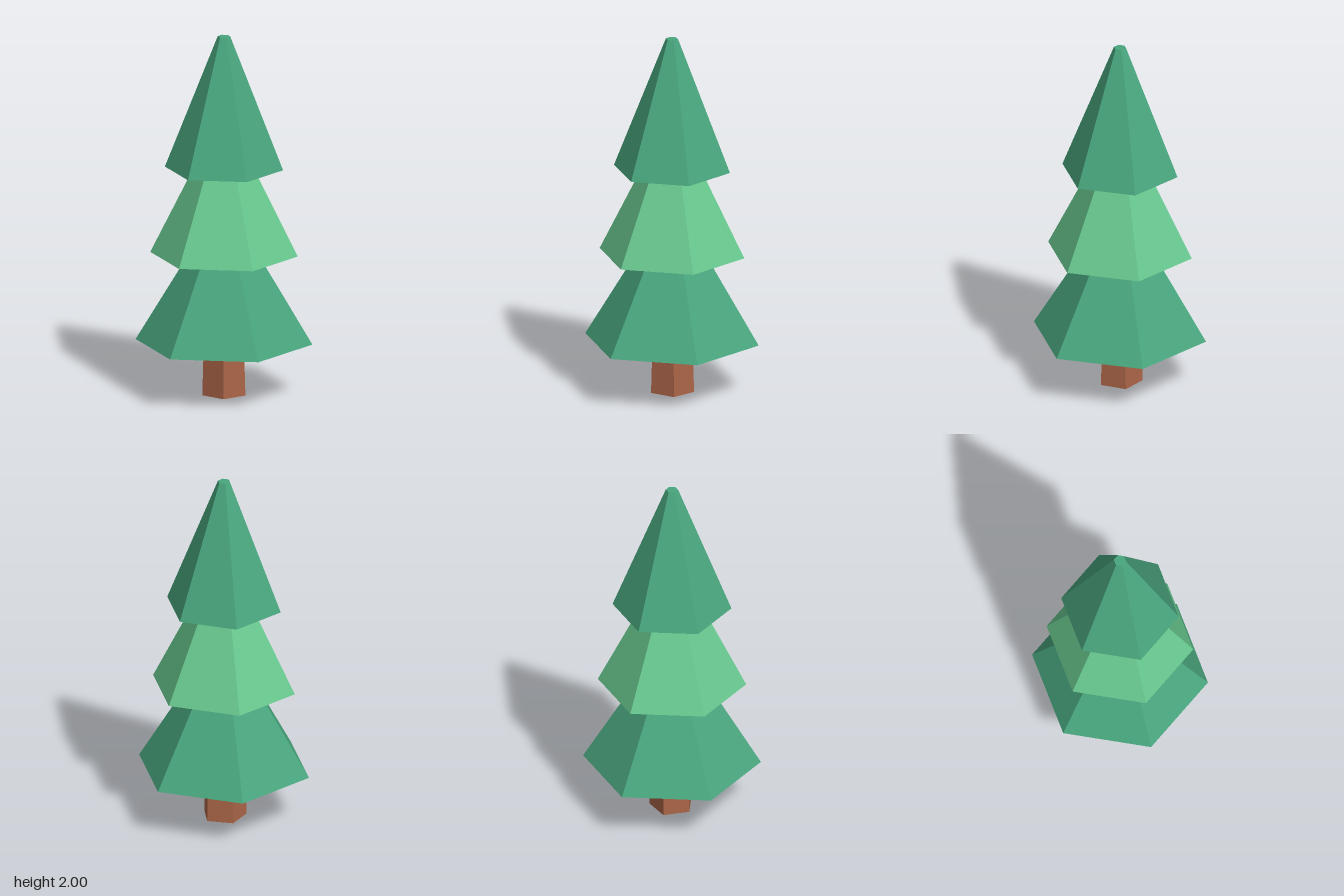
import * as THREE from 'three';

export function createModel() {
  const group = new THREE.Group();
  const material = (name, color) => {
    const m = new THREE.MeshStandardMaterial({ color, flatShading: true });
    m.name = name;
    return m;
  };
  const darkGreen = material('dark green', 0x49a67e);
  const lightGreen = material('light green', 0x68c88f);
  const bark = material('bark brown', 0xab6548);

  // Tapered, closed prism standing on y = bottom
  const frustum = (name, mat, sides, topRadius, bottomRadius, bottom, top, turn = 0) => {
    const geometry = new THREE.CylinderGeometry(topRadius, bottomRadius, top - bottom, sides);
    const mesh = new THREE.Mesh(geometry, mat);
    mesh.name = name;
    mesh.position.y = (bottom + top) / 2;
    mesh.rotation.y = turn;
    group.add(mesh);
  };

  // Five-sided trunk, one corner to the back, its top inside the lowest tier
  frustum('trunk', bark, 5, 0.111, 0.123, 0, 0.4, Math.PI);

  // Six-sided foliage tiers, each top tucked into the tier above
  frustum('lowerFoliage', darkGreen, 6, 0.154, 0.483, 0.29, 0.84);
  frustum('middleFoliage', lightGreen, 6, 0.135, 0.403, 0.78, 1.32);
  frustum('upperFoliage', darkGreen, 6, 0.034, 0.323, 1.26, 2);

  return group;
}
